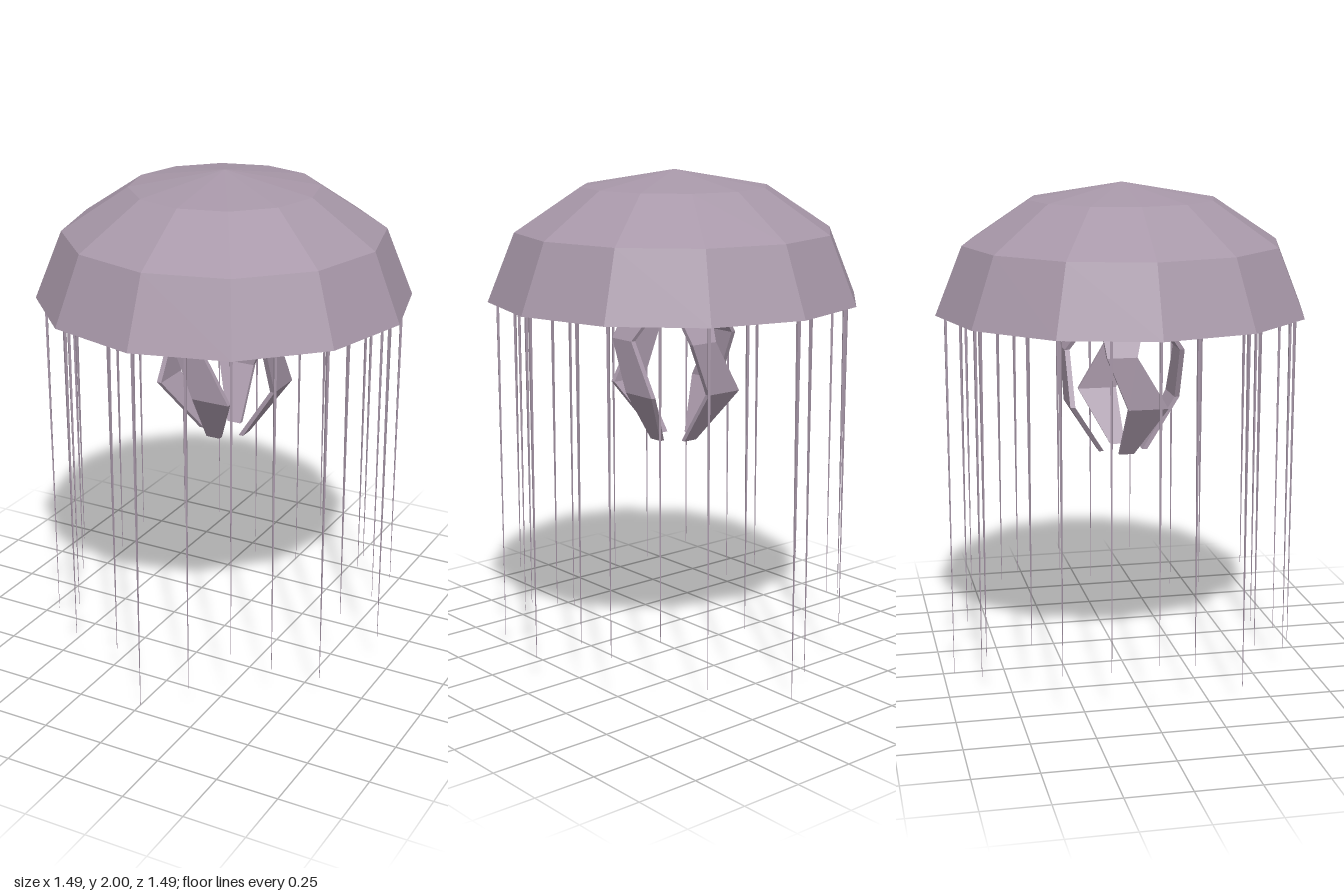
import * as THREE from 'three';

const skin = new THREE.MeshStandardMaterial({ color: 0xa797a8, flatShading: true, side: THREE.DoubleSide });
skin.name = 'dusty mauve';

// Rectangular tube through sections [y, radius, left, right], thin in z
function ribbon(sections, thick) {
  const pos = [], index = [];
  for (const [y, r, a, b] of sections) {
    const o = r + thick / 2, i = r - thick / 2;
    pos.push(a, y, o, b, y, o, b, y, i, a, y, i);
  }
  const quad = (a, b, c, d) => index.push(a, b, c, a, c, d);
  for (let s = 0; s < sections.length - 1; s++) {
    for (let k = 0; k < 4; k++) {
      const n = (k + 1) % 4, p = s * 4, q = p + 4;
      quad(p + k, p + n, q + n, q + k);
    }
  }
  const t = (sections.length - 1) * 4;
  quad(3, 2, 1, 0);
  quad(t, t + 1, t + 2, t + 3);
  const geo = new THREE.BufferGeometry();
  geo.setAttribute('position', new THREE.Float32BufferAttribute(pos, 3));
  geo.setIndex(index);
  const flat = geo.toNonIndexed();
  flat.computeVertexNormals();
  return flat;
}

// Twelve-sided shell from [radius, y] points
const shell = (points) => new THREE.LatheGeometry(points.map(([r, y]) => new THREE.Vector2(r, y)), 12);

export function createModel() {
  const group = new THREE.Group();
  const add = (geo, name, parent = group) => {
    const mesh = new THREE.Mesh(geo, skin);
    mesh.name = name;
    parent.add(mesh);
    return mesh;
  };

  // Faceted bell and the shallow ceiling beneath it
  add(shell([[0.744, 1.492], [0.635, 1.762], [0.373, 1.935], [0, 2]]), 'bell');
  add(shell([[0.744, 1.492], [0.64, 1.55], [0.373, 1.595], [0, 1.615]]), 'underside');

  // Four twisting oral arms with a slim radial fold on the ceiling
  const armGeo = ribbon([
    [0.92, 0.09, -0.03, 0.03],
    [1.13, 0.225, -0.02, 0.14],
    [1.34, 0.225, -0.105, 0.015],
    [1.58, 0.06, -0.125, 0.1],
  ], 0.02);
  const foldGeo = new THREE.OctahedronGeometry(1);
  foldGeo.scale(0.025, 0.014, 0.1);
  for (let i = 0; i < 4; i++) {
    const arm = new THREE.Group();
    arm.name = 'oralArm' + (i + 1);
    arm.rotation.y = i * Math.PI / 2;
    add(armGeo, 'armRibbon', arm);
    add(foldGeo, 'armFold', arm).position.set(0, 1.597, 0.23);
    group.add(arm);
  }

  // Fringe of tapering tentacles, alternating between two rings
  const tips = [0, 0.07, 0.28, 0.15, 0.11, 0.3, 0.14, 0.22, 0.22, 0.24, 0.09, 0.3,
    0, 0.04, 0.2, 0.27, 0.2, 0.16, 0.25, 0.2, 0.1, 0.2, 0.18, 0.16];
  tips.forEach((tip, k) => {
    const angle = k * Math.PI / 12;
    const radius = k % 2 ? 0.63 : 0.705;
    const top = 1.51;
    const tentacle = add(new THREE.CylinderGeometry(0.0075, 0.001, top - tip, 4), 'tentacle' + (k + 1));
    tentacle.position.set(Math.sin(angle) * radius, (top + tip) / 2, Math.cos(angle) * radius);
    tentacle.rotation.y = angle + Math.PI / 4;
  });

  return group;
}
